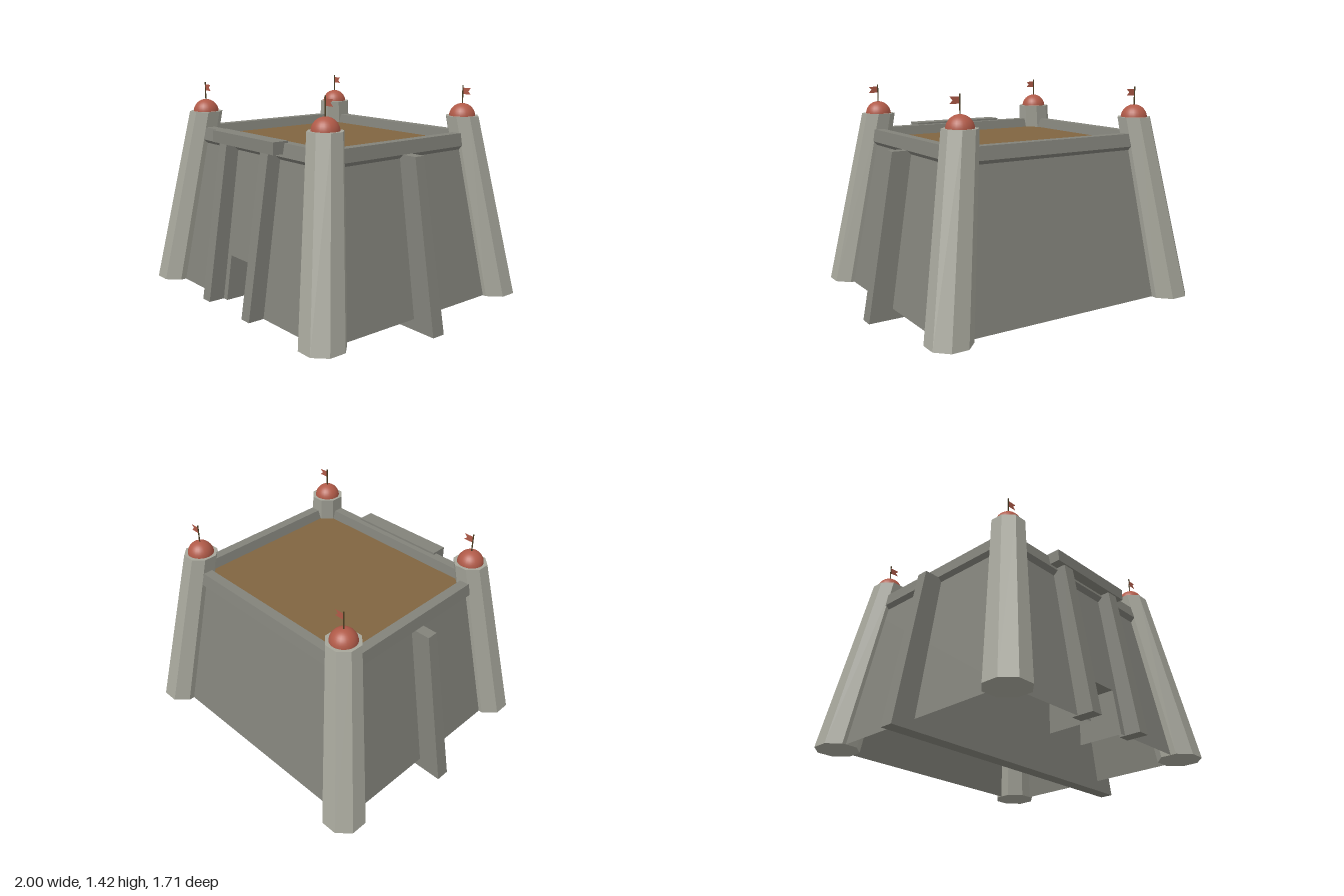
import * as THREE from 'three';

const material = (color) => new THREE.MeshStandardMaterial({ color, flatShading: true, side: THREE.DoubleSide });
const stone = material(0x82827a);
const paleStone = material(0xa6a69b);
const clay = material(0xb05a48);
const timber = material(0x806540);
const darkWood = material(0x4a3c22);

// Rings run counter-clockwise seen from above
const rect = (x0, x1, z0, z1, y) => [[x1, y, z1], [x1, y, z0], [x0, y, z0], [x0, y, z1]];
const box = (hx, hz, y) => rect(-hx, hx, -hz, hz, y);
const octagon = (cx, cz, apothem, y) => Array.from({ length: 8 }, (_, i) => {
  const a = (i + 0.5) * Math.PI / 4, r = apothem / Math.cos(Math.PI / 8);
  return [cx + r * Math.cos(a), y, cz - r * Math.sin(a)];
});

function facets(triangles) {
  const geometry = new THREE.BufferGeometry();
  geometry.setAttribute('position', new THREE.Float32BufferAttribute(triangles.flat(2), 3));
  geometry.computeVertexNormals();
  return geometry;
}

const quad = (a, b, c, d) => [[a, b, c], [a, c, d]];

// Flat-sided skin through a stack of rings
function loft(rings, capped = true) {
  const out = [], n = rings[0].length, top = rings[rings.length - 1];
  for (let k = 0; k + 1 < rings.length; k++) {
    for (let i = 0; i < n; i++) {
      const j = (i + 1) % n;
      out.push(...quad(rings[k][i], rings[k][j], rings[k + 1][j], rings[k + 1][i]));
    }
  }
  for (let i = 1; capped && i + 1 < n; i++) {
    out.push([top[0], top[i], top[i + 1]], [rings[0][0], rings[0][i + 1], rings[0][i]]);
  }
  return facets(out);
}

// Leaning wall panel facing +z, optionally notched for the doorway
const BASE = 0.07, WALL_TOP = 1.025, DOOR_W = 0.145, DOOR_H = 0.36;
const lean = (y, d0, d1) => d0 + (d1 - d0) * (y - BASE) / (WALL_TOP - BASE);
function wall(w0, w1, d0, d1, door) {
  const points = [[w0, BASE], [w1, WALL_TOP], [-w1, WALL_TOP], [-w0, BASE]];
  if (door) points.push([-DOOR_W, BASE], [-DOOR_W, DOOR_H], [DOOR_W, DOOR_H], [DOOR_W, BASE]);
  const geometry = new THREE.ShapeGeometry(new THREE.Shape(points.map((p) => new THREE.Vector2(...p))));
  const pos = geometry.attributes.position;
  for (let i = 0; i < pos.count; i++) pos.setZ(i, lean(pos.getY(i), d0, d1));
  geometry.computeVertexNormals();
  return geometry;
}

export function createModel() {
  const model = new THREE.Group();
  const add = (name, geometry, mat, parent = model) => {
    const mesh = new THREE.Mesh(geometry, mat);
    mesh.name = name;
    parent.add(mesh);
    return mesh;
  };

  // Four battered walls, open underneath
  const X0 = 0.84, X1 = 0.685, Z0 = 0.74, Z1 = 0.6;
  add('frontWall', wall(X0, X1, Z0, Z1, true), stone);
  add('backWall', wall(X0, X1, Z0, Z1), stone).rotation.y = Math.PI;
  add('leftWall', wall(Z0, Z1, X0, X1), stone).rotation.y = Math.PI / 2;
  add('rightWall', wall(Z0, Z1, X0, X1), stone).rotation.y = -Math.PI / 2;

  // Doorway recess: two cheeks, ceiling and back
  const zTop = lean(DOOR_H, Z0, Z1), zBack = 0.44;
  const cheek = (x) => [[x, BASE, Z0], [x, BASE, zBack], [x, DOOR_H, zBack], [x, DOOR_H, zTop]];
  const l = cheek(-DOOR_W), r = cheek(DOOR_W);
  add('doorway', facets([
    ...quad(...l), ...quad(r[3], r[2], r[1], r[0]),
    ...quad(l[3], l[2], r[2], r[3]), ...quad(l[1], r[1], r[2], l[2]),
  ]), stone);

  // Parapet with sloping underside, and the roof deck inside it
  add('parapet', loft([
    box(X1, Z1, WALL_TOP), box(0.71, 0.63, 1.05), box(0.7, 0.615, 1.13),
    box(0.637, 0.552, 1.13), box(0.622, 0.542, 1.07),
  ], false), stone);
  const deck = add('roofDeck', new THREE.PlaneGeometry(1.26, 1.1), timber);
  deck.rotation.x = -Math.PI / 2;
  deck.position.y = 1.07;

  // Cross slab whose ends form the side buttresses
  add('sideButtresses', loft([box(1, 0.045, 0), box(0.81, 0.036, 1.05)]), stone);

  // Gate buttresses and the lintel over them
  for (const s of [-1, 1]) {
    const x = s * 0.225;
    add('gateButtress', loft([
      rect(x - 0.04, x + 0.04, 0.7, 0.845, BASE),
      rect(x - 0.04, x + 0.04, 0.57, 0.685, 1.07),
    ]), stone);
  }
  add('gateLintel', new THREE.BoxGeometry(0.66, 0.075, 0.105), stone).position.set(0, 1.105, 0.642);

  // Leaning corner towers, each with a dome and flag
  const flagShape = new THREE.Shape([[0, 0], [0.065, 0], [0.045, 0.02], [0.065, 0.04], [0, 0.04]]
    .map((p) => new THREE.Vector2(...p)));
  const smoothClay = clay.clone();
  smoothClay.flatShading = false;
  for (const sx of [-1, 1]) {
    for (const sz of [-1, 1]) {
      const corner = new THREE.Group();
      corner.name = 'cornerTower';
      model.add(corner);
      const x = sx * 0.635, z = sz * 0.56;
      add('towerShaft', loft([
        octagon(sx * 0.812, sz * 0.725, 0.13, BASE), octagon(x, z, 0.1, 1.23),
      ]), paleStone, corner);
      add('dome', new THREE.SphereGeometry(0.083, 24, 10, 0, Math.PI * 2, 0, Math.PI / 2), smoothClay, corner)
        .position.set(x, 1.225, z);
      add('flagPole', new THREE.CylinderGeometry(0.004, 0.004, 0.14, 8), darkWood, corner)
        .position.set(x, 1.35, z);
      add('flag', new THREE.ShapeGeometry(flagShape), clay, corner).position.set(x, 1.365, z);
    }
  }
  return model;
}
